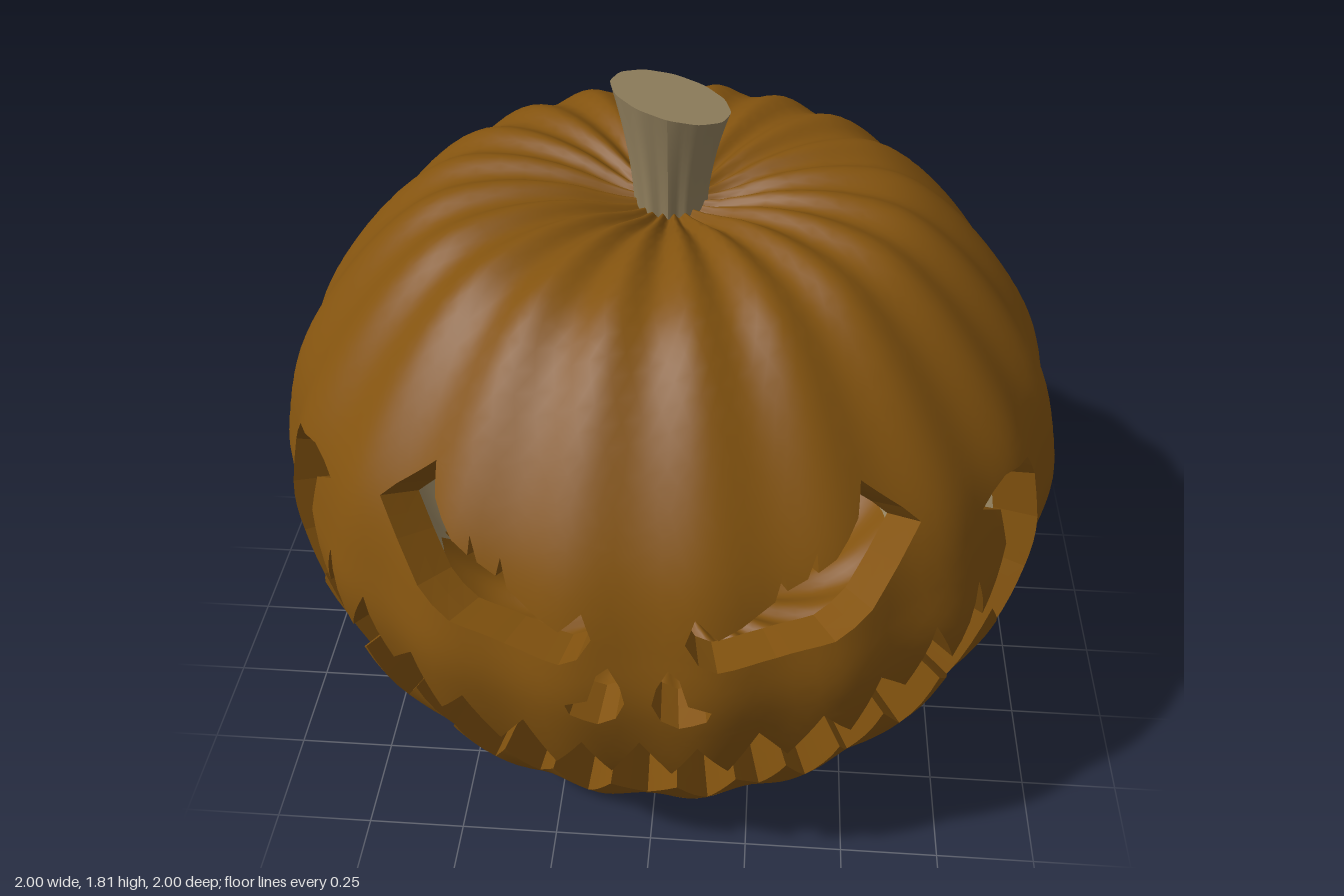
import * as THREE from 'three';

const H = 2.9;            // unrolled height of the skin
const WALL = 0.1;         // unrolled wall depth (0 = inside, WALL = outside)
const MID = 0.785;

// Half silhouette, bottom pole to top pole
const profile = new THREE.SplineCurve([
  [0, 0.06], [0.12, 0.04], [0.26, 0.015], [0.42, 0.005], [0.54, 0.025], [0.65, 0.08],
  [0.77, 0.2], [0.88, 0.37], [0.96, 0.55], [1.01, 0.79], [0.99, 0.96], [0.935, 1.13],
  [0.825, 1.3], [0.69, 1.45], [0.56, 1.54], [0.41, 1.57], [0.26, 1.56], [0.12, 1.52], [0, 1.5],
].map(([x, y]) => new THREE.Vector2(x, y)));
profile.arcLengthDivisions = 400;

// Unrolled skin (angle, height, depth) to a point of the ribbed shell
function skin(u, v, w) {
  const p = profile.getPointAt(THREE.MathUtils.clamp(v / H, 0, 1));
  const groove = Math.cos(10 * u) ** 2;
  const k = (p.y - MID) / MID;
  const r = p.x * (1 - 0.018 * groove);
  const y = p.y - 0.022 * groove * k ** 3 * Math.min(1, p.x / 0.1);
  const s = w / WALL;
  const rr = r * (0.89 + 0.11 * s);
  return new THREE.Vector3(rr * Math.sin(u), MID + (y - MID) * (0.86 + 0.14 * s), rr * Math.cos(u));
}

function skinNormal(u, v, w) {
  const e = 0.004, vc = THREE.MathUtils.clamp(v, 0.02, H - 0.02);
  const du = skin(u + e, vc, w).sub(skin(u - e, vc, w));
  const dv = skin(u, vc + e, w).sub(skin(u, vc - e, w));
  const n = du.cross(dv).normalize();
  return w > WALL / 2 ? n : n.negate();
}

// Front-view point to the unrolled skin
function unroll([x, y]) {
  let lo = 0.22, hi = 0.78;
  for (let i = 0; i < 30; i++) {
    const m = (lo + hi) / 2;
    if (profile.getPointAt(m).y < y) lo = m; else hi = m;
  }
  return new THREE.Vector2(Math.asin(Math.min(0.99, x / profile.getPointAt(lo).x)), lo * H);
}

const flip = (pts) => pts.map(([x, y]) => [-x, y]).reverse();

// Carved openings, left half
const eye = [
  [0.12, 1.06], [0.1, 1.0], [0.13, 0.95], [0.17, 0.93], [0.3, 0.935], [0.42, 0.955], [0.5, 1.0],
  [0.56, 1.07], [0.6, 1.14], [0.56, 1.18], [0.46, 1.26], [0.455, 1.2], [0.41, 1.14], [0.375, 1.12],
  [0.37, 1.16], [0.355, 1.11], [0.315, 1.09], [0.305, 1.13], [0.29, 1.07], [0.22, 1.03], [0.17, 1.01],
];
const nostril = [
  [0.065, 0.93], [0.04, 0.88], [0.03, 0.83], [0.05, 0.78], [0.09, 0.76], [0.15, 0.79],
  [0.16, 0.82], [0.11, 0.84], [0.09, 0.91],
];
const mouthHalf = [
  // upper teeth
  [0.07, 0.53], [0.13, 0.68], [0.2, 0.54], [0.27, 0.7], [0.34, 0.56], [0.41, 0.73], [0.48, 0.61],
  [0.54, 0.79], [0.61, 0.69], [0.66, 0.87], [0.71, 0.72], [0.76, 0.91], [0.795, 0.77],
  // hooked corner
  [0.835, 0.93], [0.81, 1.03], [0.76, 1.07], [0.81, 1.1], [0.87, 1.08], [0.91, 1.0],
  [0.935, 0.87], [0.92, 0.72], [0.86, 0.54],
  // lower teeth
  [0.83, 0.73], [0.75, 0.48], [0.69, 0.64], [0.62, 0.41], [0.57, 0.58], [0.5, 0.36], [0.46, 0.53],
  [0.39, 0.31], [0.34, 0.48], [0.28, 0.28], [0.22, 0.45], [0.15, 0.27], [0.08, 0.42],
];
const mouth = [[0, 0.68], ...mouthHalf, [0, 0.27], ...flip(mouthHalf)];

// Halve long edges until every triangle is small enough to bend
function split(tri, max, out) {
  const len = [0, 1, 2].map((i) => tri[i].distanceTo(tri[(i + 1) % 3]));
  const i = len.indexOf(Math.max(...len));
  if (len[i] <= max) { out.push(tri); return; }
  const a = tri[i], b = tri[(i + 1) % 3], c = tri[(i + 2) % 3];
  const m = a.clone().add(b).multiplyScalar(0.5);
  split([a, m, c], max, out);
  split([m, b, c], max, out);
}

function bend(tris, smooth) {
  const pos = [], nor = [];
  for (const tri of tris) {
    const p = tri.map((q) => skin(q.x, q.y, q.z));
    const flat = p[1].clone().sub(p[0]).cross(p[2].clone().sub(p[0])).normalize();
    tri.forEach((q, i) => {
      pos.push(...p[i].toArray());
      nor.push(...(smooth ? skinNormal(q.x, q.y, q.z) : flat).toArray());
    });
  }
  const g = new THREE.BufferGeometry();
  g.setAttribute('position', new THREE.Float32BufferAttribute(pos, 3));
  g.setAttribute('normal', new THREE.Float32BufferAttribute(nor, 3));
  return g;
}

function carvedShell() {
  const sheet = new THREE.Shape([
    [-Math.PI, 0], [Math.PI, 0], [Math.PI, H], [-Math.PI, H],
  ].map(([x, y]) => new THREE.Vector2(x, y)));
  for (const hole of [eye, flip(eye), nostril, flip(nostril), mouth]) {
    sheet.holes.push(new THREE.Path(hole.map(unroll)));
  }
  const block = new THREE.ExtrudeGeometry(sheet, { depth: WALL, bevelEnabled: false });
  const p = block.attributes.position;
  const parts = { outer: [], floor: [], lining: [], cuts: [] };
  for (let i = 0; i < p.count; i += 3) {
    const tri = [0, 1, 2].map((j) => new THREE.Vector3().fromBufferAttribute(p, i + j));
    const cap = tri.every((q) => Math.abs(q.z - tri[0].z) < 1e-6);
    const rim = tri.some((q) => Math.abs(q.x) > 3.1 || q.y < 0.01 || q.y > H - 0.01);
    if (!cap && rim) continue;
    const small = [];
    split(tri, 0.065, small);
    for (const t of small) {
      if (!cap) parts.cuts.push(t);
      else if (t[0].z > WALL / 2) parts.outer.push(t);
      else {
        const c = (t[0].y + t[1].y + t[2].y) / 3;
        (skin(0, c, 0).y < 0.29 ? parts.floor : parts.lining).push(t);
      }
    }
  }
  return parts;
}

// Ribbed stalk, flaring and tilted at the cut
function stemGeometry() {
  const g = new THREE.CylinderGeometry(1, 1, 1, 60, 8);
  const p = g.attributes.position;
  for (let i = 0; i < p.count; i++) {
    const t = p.getY(i) + 0.5, a = Math.atan2(p.getZ(i), p.getX(i));
    const rib = 1 + 0.05 * Math.cos(12 * a) * (1 - t * 0.8);
    const x = p.getX(i) * rib * (0.083 + 0.055 * t ** 1.8);
    const z = p.getZ(i) * rib * (0.08 + 0.036 * t ** 1.3);
    p.setXYZ(i, x, 1.46 + t * (0.315 - 0.25 * x), z);
  }
  g.computeVertexNormals();
  return g;
}

export function createModel() {
  const rind = new THREE.MeshStandardMaterial({ color: 0x83530f });
  rind.name = 'rind orange';
  const flesh = new THREE.MeshStandardMaterial({ color: 0x94825f });
  flesh.name = 'dry tan';
  const model = new THREE.Group();
  model.name = 'carvedPumpkin';
  const add = (name, geometry, material) => {
    const m = new THREE.Mesh(geometry, material);
    m.name = name;
    model.add(m);
    return m;
  };

  const parts = carvedShell();
  add('outerRind', bend(parts.outer, true), rind);
  add('carvedEdges', bend(parts.cuts, false), rind);
  add('innerFloor', bend(parts.floor, true), rind);
  add('innerLining', bend(parts.lining, true), flesh);
  add('stem', stemGeometry(), flesh);
  add('candle', new THREE.CylinderGeometry(0.08, 0.08, 0.25, 24), flesh).position.y = 0.255;
  return model;
}
